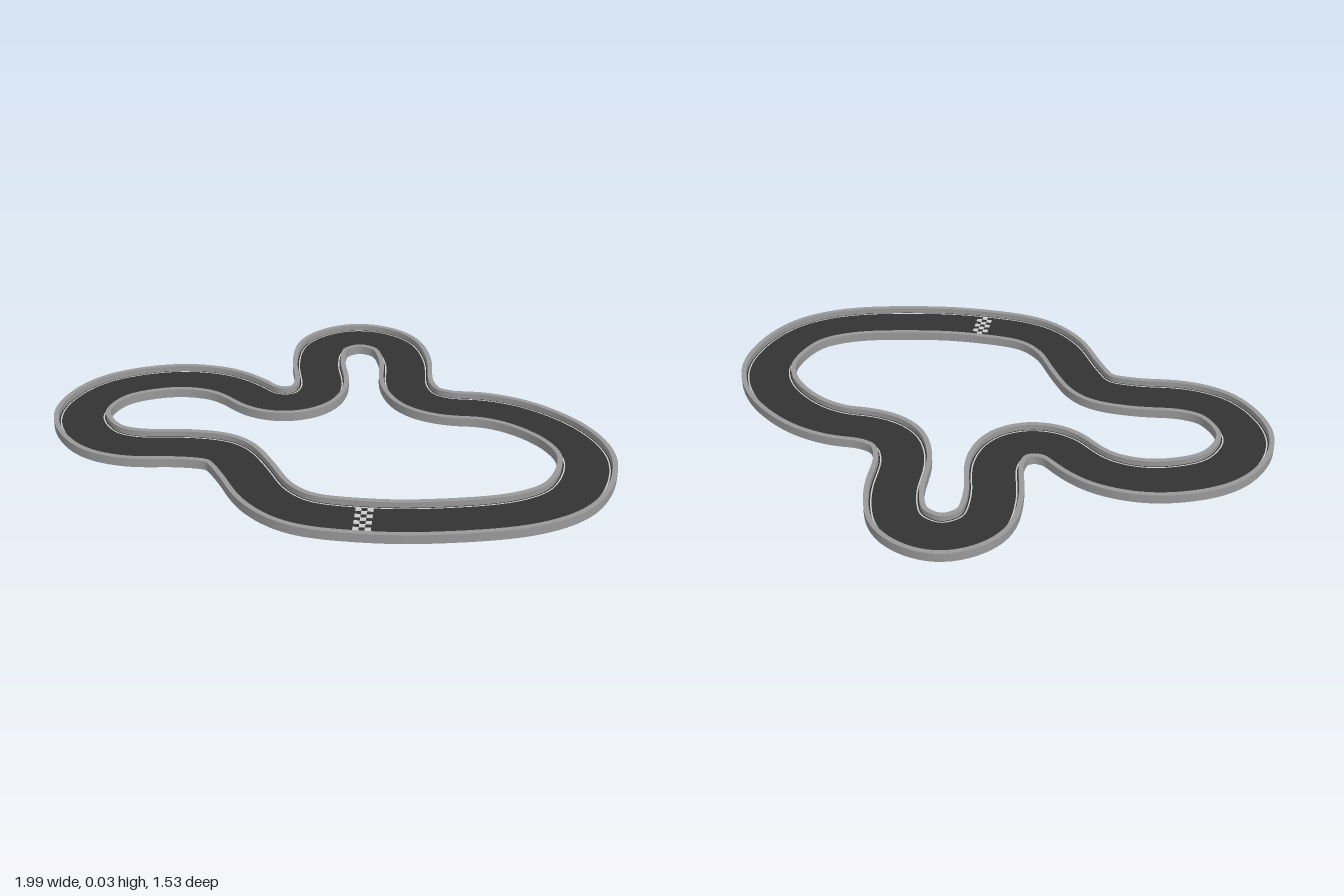
import * as THREE from 'three';

const HALF = 0.103, ROAD_TOP = 0.013, WALL_TOP = 0.034, WALL_IN = 0.085, LINE = 0.075;

// Centre line of the circuit as x, z pairs
const course = [
  [0.09, 0.647], [0.323, 0.662], [0.644, 0.626], [0.80, 0.535], [0.893, 0.32], [0.85, 0.157],
  [0.715, 0.008], [0.58, -0.058], [0.457, -0.077], [0.358, -0.135], [0.318, -0.25], [0.33, -0.45],
  [0.291, -0.60], [0.158, -0.668], [0.025, -0.60], [-0.01, -0.45], [-0.005, -0.265],
  [-0.05, -0.167], [-0.142, -0.133], [-0.235, -0.162], [-0.295, -0.23], [-0.39, -0.302],
  [-0.57, -0.337], [-0.80, -0.262], [-0.896, -0.083], [-0.82, 0.095], [-0.70, 0.155],
  [-0.505, 0.17], [-0.365, 0.21], [-0.295, 0.33], [-0.225, 0.49], [-0.12, 0.592],
];
const curve = new THREE.CatmullRomCurve3(course.map(([x, z]) => new THREE.Vector3(x, 0, z)), true);

// Sample the loop and relax it slightly for an even flow
function samplePath(count) {
  let pts = curve.getSpacedPoints(count).slice(0, count);
  for (let k = 0; k < 6; k++) {
    pts = pts.map((p, i) => p.clone().multiplyScalar(2)
      .add(pts[(i + 1) % count]).add(pts[(i + count - 1) % count]).multiplyScalar(0.25));
  }
  return pts.map((p, i) => {
    const t = pts[(i + 1) % count].clone().sub(pts[(i + count - 1) % count]).normalize();
    return { p, t };
  });
}
const path = samplePath(320);

// Sweep a clockwise profile of [sideways, height] points round the loop;
// each profile segment has its own vertices so its edges stay sharp
function sweep(profile, closed = false) {
  const pos = [], idx = [], n = path.length;
  const segs = closed ? profile.length : profile.length - 1;
  for (let s = 0; s < segs; s++) {
    const ends = [profile[s], profile[(s + 1) % profile.length]], base = pos.length / 3;
    path.forEach(({ p, t }) => {
      for (const [u, y] of ends) pos.push(p.x - t.z * u, y, p.z + t.x * u);
    });
    for (let i = 0; i < n; i++) {
      const a = base + i * 2, b = base + ((i + 1) % n) * 2;
      idx.push(a, a + 1, b, a + 1, b + 1, b);
    }
  }
  const g = new THREE.BufferGeometry();
  g.setAttribute('position', new THREE.Float32BufferAttribute(pos, 3));
  g.setIndex(idx);
  g.computeVertexNormals();
  return g;
}

export function createModel() {
  const model = new THREE.Group();
  model.name = 'raceTrack';
  const asphalt = new THREE.MeshStandardMaterial({ color: 0x333333 });
  const wallMat = new THREE.MeshStandardMaterial({ color: 0x999999, side: THREE.DoubleSide });
  const paint = new THREE.MeshStandardMaterial({ color: 0xcccccc });
  const add = (name, geometry, material, parent = model) => {
    const mesh = new THREE.Mesh(geometry, material);
    mesh.name = name;
    parent.add(mesh);
    return mesh;
  };

  // Road slab
  const e = HALF - 0.001;
  add('road', sweep([[-e, 0], [-e, ROAD_TOP], [e, ROAD_TOP], [e, 0]], true), asphalt);

  // Kerb walls and painted edge lines on both sides
  const wall = [[WALL_IN, ROAD_TOP], [WALL_IN, WALL_TOP], [HALF, WALL_TOP], [HALF, 0]];
  const line = [[LINE, ROAD_TOP + 0.001], [LINE + 0.005, ROAD_TOP + 0.001]];
  const mirror = (pr) => pr.map(([u, y]) => [-u, y]).reverse();
  add('rightWall', sweep(wall), wallMat);
  add('leftWall', sweep(mirror(wall)), wallMat);
  add('rightEdgeLine', sweep(line), paint);
  add('leftEdgeLine', sweep(mirror(line)), paint);

  // Chequered start line
  const start = new THREE.Group();
  start.name = 'startLine';
  const { p, t } = path[0];
  start.position.set(p.x, ROAD_TOP + 0.0005, p.z);
  start.rotation.y = Math.atan2(-t.z, t.x);
  const rows = 8, cols = 3, w = (2 * LINE) / rows, l = 0.02;
  const tile = new THREE.BoxGeometry(l, 0.002, w);
  for (let r = 0; r < rows; r++) {
    for (let c = 0; c < cols; c++) {
      if ((r + c) % 2) continue;
      add('startTile', tile, paint, start)
        .position.set((c - (cols - 1) / 2) * l, 0, (r - (rows - 1) / 2) * w);
    }
  }
  model.add(start);
  return model;
}
